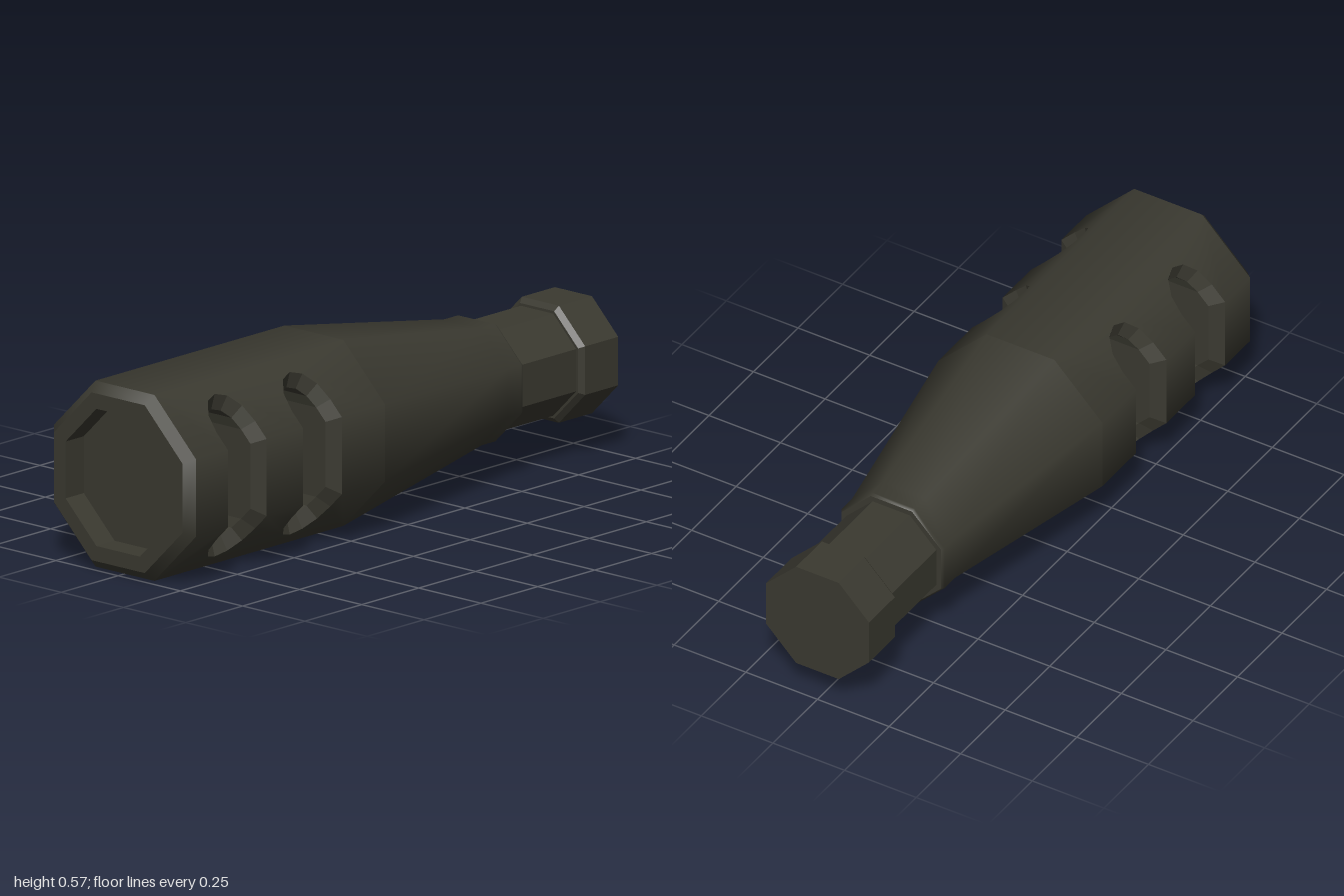
import * as THREE from 'three';

const A = 0.286;                        // apothem of the octagonal body
const T = Math.tan(Math.PI / 8);
const EDGE = A * T;                     // half length of one octagon side
const FRONT = 0.97, REAR = 0.14;        // z range of the slotted section
const SLOTS = [0.745, 0.415];           // slot centres along z
const SLOT_HALF = 0.085;

// x of an octagon's right side at height v
const surf = (a, v) => Math.min(a, a * Math.SQRT2 - Math.abs(v));

// eight-sided turned piece; profile points are [z, apothem]
function octagon(profile, flat) {
  const pts = profile.map(([z, a]) => new THREE.Vector2(a / Math.cos(Math.PI / 8), z));
  let geo = new THREE.LatheGeometry(pts, 8, Math.PI / 8);
  geo.rotateX(Math.PI / 2);
  if (flat) {
    geo = geo.toNonIndexed();
    geo.computeVertexNormals();
  }
  return geo;
}

// skin panel outlined in (-z, y), pushed out to the octagon, with rounded normals
function panel(points) {
  const geo = new THREE.ShapeGeometry(new THREE.Shape(points.map(([u, v]) => new THREE.Vector2(u, v))));
  const pos = geo.attributes.position, nor = geo.attributes.normal;
  for (let i = 0; i < pos.count; i++) {
    const u = pos.getX(i), v = pos.getY(i), x = surf(A, v), r = Math.hypot(x, v);
    pos.setXYZ(i, x, v, -u);
    nor.setXYZ(i, x / r, v / r, 0);
  }
  return geo;
}

const rect = (z0, z1) => panel([[-z1, -EDGE], [-z0, -EDGE], [-z0, EDGE], [-z1, EDGE]]);

// upper half of a slot outline, from the right side over the top to the left
function slotArch(half, height, crease) {
  const pts = [[half, crease]];
  for (let i = 0; i <= 6; i++) {
    const t = (i / 6) * Math.PI;
    pts.push([half * Math.cos(t), height - half + half * Math.sin(t)]);
  }
  pts.push([-half, crease]);
  return pts;
}
const outerArch = slotArch(SLOT_HALF, 0.25, EDGE);
const innerArch = slotArch(0.0625, 0.2, 0.241 * T);
const closeLoop = arch => [...arch, ...arch.map(([u, v]) => [-u, -v])];

// slanted panel with the slot ends notched out of its inner edge
function slantPanel(sy) {
  const pts = [[-FRONT, EDGE]];
  for (const z of SLOTS) {
    for (const [u, v] of [...outerArch].reverse()) pts.push([u - z, v]);
  }
  pts.push([-REAR, EDGE], [-REAR, A], [-FRONT, A]);
  return panel(pts.map(([u, v]) => [u, v * sy]));
}

// bevelled lip and tunnel of one slot, reaching the centre plane
function slotWall(z) {
  const at = (loop, x) => loop.map(([u, v]) => [x(v), v, z - u]);
  const outer = closeLoop(outerArch), inner = closeLoop(innerArch);
  const rings = [at(outer, v => surf(A, v)), at(inner, v => surf(0.241, v)), at(inner, () => 0)];
  const verts = [];
  for (let r = 0; r < 2; r++) {
    const a = rings[r], b = rings[r + 1];
    for (let i = 0; i < a.length; i++) {
      const j = (i + 1) % a.length;
      verts.push(...a[i], ...a[j], ...b[i], ...a[j], ...b[j], ...b[i]);
    }
  }
  const geo = new THREE.BufferGeometry();
  geo.setAttribute('position', new THREE.Float32BufferAttribute(verts, 3));
  geo.computeVertexNormals();
  return geo;
}

export function createModel() {
  const group = new THREE.Group();
  group.name = 'muzzleBrake';
  const metal = new THREE.MeshStandardMaterial({ color: 0x3a3930 });
  metal.name = 'darkMetal';

  const body = new THREE.Group();
  body.name = 'body';
  body.position.y = A;
  group.add(body);
  const add = (name, geo, parent = body) => {
    const mesh = new THREE.Mesh(geo, metal);
    mesh.name = name;
    parent.add(mesh);
  };

  // rear fitting and neck
  add('rearFitting', octagon([[-1, 0], [-1, 0.18], [-0.855, 0.18], [-0.84, 0.165], [-0.84, 0.157], [-0.58, 0.157]], true));
  // shoulder ring and tapered section
  add('shoulderFace', octagon([[-0.585, 0.15], [-0.585, 0.174]], true));
  add('taper', octagon([[-0.585, 0.174], [-0.575, 0.18], [-0.515, 0.18], [REAR, A]], false));
  // front bevel, rim and shallow bore
  add('frontBevel', octagon([[FRONT, A], [1, 0.258]], false));
  add('frontRim', octagon([[1, 0.258], [1, 0.211]], true));
  add('bore', octagon([[1, 0.211], [0.92, 0.211], [0.92, 0]], true));

  // top and bottom of the slotted section
  for (const s of [1, -1]) {
    add(s > 0 ? 'topPanel' : 'bottomPanel', rect(REAR, FRONT).rotateZ(s * Math.PI / 2));
  }

  // each side: slanted panels, strips between the slots, slot walls
  for (const angle of [0, Math.PI]) {
    const side = new THREE.Group();
    side.name = angle ? 'rightSide' : 'leftSide';
    side.rotation.z = angle;
    body.add(side);
    add('upperSlant', slantPanel(1), side);
    add('lowerSlant', slantPanel(-1), side);
    const [f, r] = SLOTS;
    add('frontStrip', rect(f + SLOT_HALF, FRONT), side);
    add('middleStrip', rect(r + SLOT_HALF, f - SLOT_HALF), side);
    add('rearStrip', rect(REAR, r - SLOT_HALF), side);
    for (const z of SLOTS) add('slotWall', slotWall(z), side);
  }
  return group;
}
